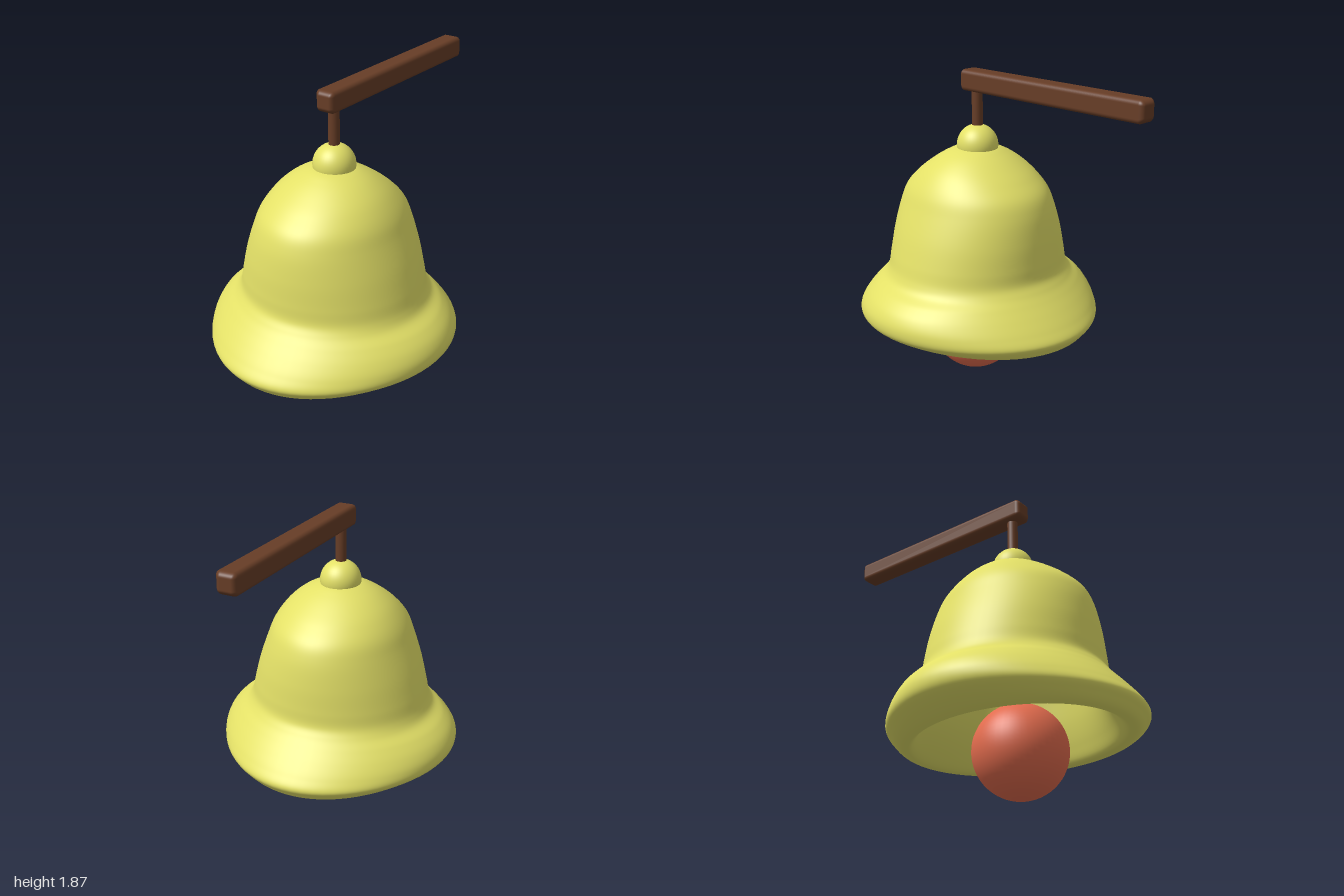
import * as THREE from 'three';
import { RoundedBoxGeometry } from 'three/addons/geometries/RoundedBoxGeometry.js';

const SEGMENTS = 72;
const BELL_Z = 0.24;

// Skin of elliptical rings; each row is [half-width in x, height, half-depth in z]
function ellipticalShell(rows, steps) {
  const curve = new THREE.CatmullRomCurve3(rows.map((r) => new THREE.Vector3(...r)), false, 'centripetal');
  const positions = [];
  const index = [];
  for (let i = 0; i <= steps; i++) {
    const p = curve.getPoint(i / steps);
    // the wide lip is slightly slimmer on its diagonals
    const pinch = 0.018 * THREE.MathUtils.smoothstep(p.x, 0.56, 0.72);
    for (let j = 0; j < SEGMENTS; j++) {
      const a = (j / SEGMENTS) * Math.PI * 2;
      const s = 1 - pinch * Math.sin(2 * a) ** 2;
      positions.push(p.x * s * Math.sin(a), p.y, p.z * s * Math.cos(a));
      if (i === steps) continue;
      const k = (j + 1) % SEGMENTS;
      const [A, B, C, D] = [i * SEGMENTS + j, i * SEGMENTS + k, (i + 1) * SEGMENTS + j, (i + 1) * SEGMENTS + k];
      index.push(A, C, B, B, C, D);
    }
  }
  const geometry = new THREE.BufferGeometry();
  geometry.setAttribute('position', new THREE.Float32BufferAttribute(positions, 3));
  geometry.setIndex(index);
  geometry.computeVertexNormals();
  return geometry;
}

export function createModel() {
  const model = new THREE.Group();
  model.name = 'handBell';

  const yellow = new THREE.MeshStandardMaterial({ color: 0xe3e067 });
  const brown = new THREE.MeshStandardMaterial({ color: 0x673d26 });
  const red = new THREE.MeshStandardMaterial({ color: 0xe36c4e });

  const add = (name, geometry, material, x, y, z) => {
    const mesh = new THREE.Mesh(geometry, material);
    mesh.name = name;
    mesh.position.set(x, y, z);
    model.add(mesh);
  };

  // Crown and waist of the bell
  const body = [
    [0.002, 1.425, 0.002],
    [0.11, 1.42, 0.11],
    [0.2, 1.385, 0.19],
    [0.285, 1.325, 0.285],
    [0.345, 1.26, 0.37],
    [0.395, 1.18, 0.448],
    [0.43, 1.09, 0.485],
    [0.485, 0.94, 0.51],
    [0.525, 0.8, 0.52],
    [0.548, 0.71, 0.528],
  ];
  // Bulging lip, turning under into the mouth
  const lip = [
    [0.575, 0.66, 0.56],
    [0.645, 0.61, 0.604],
    [0.7, 0.55, 0.66],
    [0.725, 0.48, 0.72],
    [0.712, 0.42, 0.76],
    [0.65, 0.372, 0.735],
    [0.55, 0.332, 0.688],
    [0.505, 0.334, 0.64],
  ];
  // Funnel-shaped hollow narrowing up into the body
  const hollow = [
    [0.465, 0.42, 0.56],
    [0.43, 0.55, 0.485],
    [0.405, 0.72, 0.435],
    [0.37, 0.95, 0.395],
    [0.31, 1.12, 0.33],
    [0.2, 1.24, 0.2],
    [0.002, 1.29, 0.002],
  ];
  add('bell', ellipticalShell([...body, ...lip, ...hollow], 180), yellow, 0, 0, BELL_Z);

  // Clapper ball hanging in the mouth
  add('clapper', new THREE.SphereGeometry(0.27, 48, 32), red, 0.003, 0.27, 0.262);

  // Knob on the crown
  add('crownKnob', new THREE.SphereGeometry(0.122, 40, 28), yellow, 0.003, 1.433, 0.23);

  // Hanger rod and horizontal handle
  add('hangerRod', new THREE.CylinderGeometry(0.032, 0.032, 0.28, 24), brown, 0.003, 1.64, 0.23);

  // Handle bar, narrowing towards both ends
  const bar = new RoundedBoxGeometry(0.124, 0.124, 1.32, 4, 0.026);
  const pos = bar.attributes.position;
  for (let i = 0; i < pos.count; i++) {
    const s = 1 - 0.15 * THREE.MathUtils.smoothstep(Math.abs(pos.getZ(i)), 0.63, 0.66);
    pos.setXY(i, pos.getX(i) * s, pos.getY(i) * s);
  }
  add('handle', bar, brown, 0.003, 1.811, -0.34);

  return model;
}
